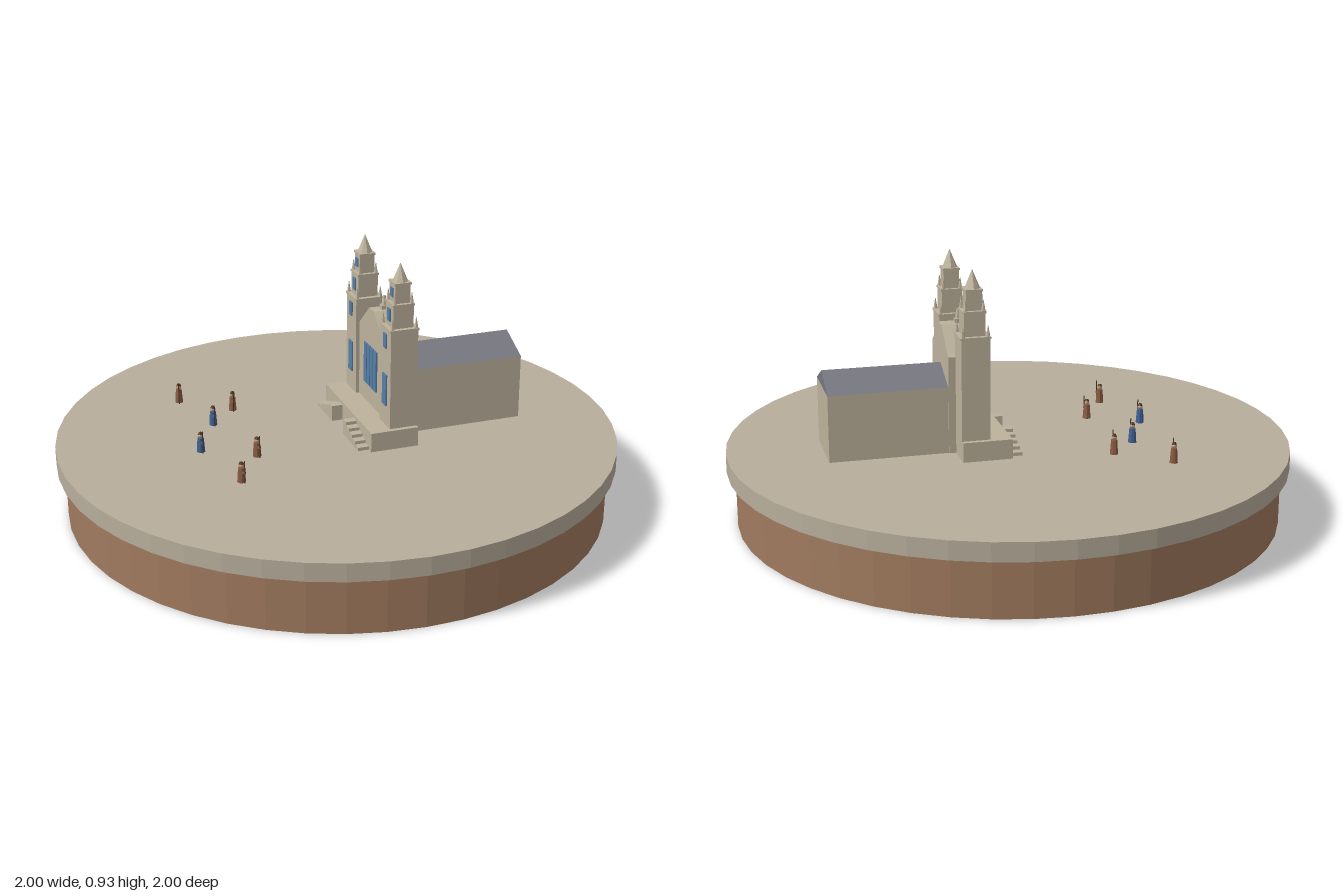
import * as THREE from 'three';

const mat = (name, color, flat = true) => {
  const m = new THREE.MeshStandardMaterial({ color, flatShading: flat });
  m.name = name;
  return m;
};

export function createModel() {
  const root = new THREE.Group();
  root.name = 'churchDiorama';
  const M = {
    earth: mat('earth', 0xa07a5e),
    ground: mat('ground', 0xb7ad9b),
    stone: mat('stone', 0xbdb29c),
    roof: mat('roof', 0x777880),
    glass: mat('glass', 0x567fa8),
    brown: mat('brownCloth', 0x8b5c42),
    blue: mat('blueCloth', 0x3f6292),
    skin: mat('skin', 0xc39a78),
    wood: mat('darkWood', 0x4a3526),
  };

  const add = (parent, name, geo, m, x = 0, y = 0, z = 0) => {
    const mesh = new THREE.Mesh(geo, m);
    mesh.name = name;
    mesh.position.set(x, y, z);
    parent.add(mesh);
    return mesh;
  };
  // box standing on y0
  const box = (parent, name, m, w, h, d, x, y0, z) =>
    add(parent, name, new THREE.BoxGeometry(w, h, d), m, x, y0 + h / 2, z);
  // tapered cylinder standing on y0
  const cyl = (parent, name, m, rTop, rBot, h, seg, x, y0, z) =>
    add(parent, name, new THREE.CylinderGeometry(rTop, rBot, h, seg), m, x, y0 + h / 2, z);
  // outline in x,y pushed from z0 to z1
  const prism = (parent, name, m, pts, z0, z1) => {
    const shape = new THREE.Shape(pts.map(([x, y]) => new THREE.Vector2(x, y)));
    return add(parent, name,
      new THREE.ExtrudeGeometry(shape, { depth: z1 - z0, bevelEnabled: false }), m, 0, 0, z0);
  };

  // round base
  const G = 0.265;
  cyl(root, 'earthBase', M.earth, 0.97, 0.97, 0.2, 48, 0, 0, 0);
  cyl(root, 'plaza', M.ground, 1, 1, G - 0.2, 48, 0, 0.2, 0);

  // church, local y = 0 is the plaza
  const church = new THREE.Group();
  church.name = 'church';
  church.position.set(0.057, G, -0.16);
  church.rotation.y = THREE.MathUtils.degToRad(-20);
  root.add(church);

  // nave and gabled roof
  box(church, 'nave', M.stone, 0.25, 0.237, 0.42, 0, 0, -0.283);
  prism(church, 'naveRoof', M.roof, [[-0.125, 0.237], [0.125, 0.237], [0, 0.295]], -0.493, -0.073);

  // central facade with stepped gable
  prism(church, 'facade', M.stone,
    [[-0.13, 0], [0.13, 0], [0.13, 0.345], [0.115, 0.355], [0.025, 0.435],
      [-0.025, 0.435], [-0.115, 0.355], [-0.13, 0.345]], -0.075, 0.037);
  box(church, 'finialBase', M.stone, 0.026, 0.014, 0.026, 0, 0.435, -0.01);
  cyl(church, 'finial', M.stone, 0.005, 0.011, 0.035, 6, 0, 0.449, -0.01);

  // central window panes
  for (let i = 0; i < 4; i++) {
    box(church, 'facadeWindow', M.glass, 0.026, 0.152, 0.008, -0.048 + i * 0.032, 0.143, 0.039);
  }

  // terrace
  box(church, 'terrace', M.stone, 0.48, 0.07, 0.175, 0, 0, 0.0375);

  for (const s of [-1, 1]) {
    // flight of steps going down outwards
    for (let i = 0; i < 5; i++) {
      box(church, 'step', M.stone, 0.031, 0.058 - i * 0.0115, 0.04, s * (0.076 + i * 0.031), 0, 0.145);
    }

    // bell tower: [width, bottom, top, windows as (width, bottom, height)]
    const tower = new THREE.Group();
    tower.name = s < 0 ? 'rightTower' : 'leftTower';
    tower.position.x = s * 0.173;
    church.add(tower);
    const tiers = [
      [0.1, 0, 0.435, [[0.038, 0.145, 0.115], [0.027, 0.358, 0.052]]],
      [0.074, 0.435, 0.522, [[0.025, 0.455, 0.045]]],
      [0.055, 0.522, 0.595, [[0.022, 0.542, 0.032]]],
    ];
    tiers.forEach(([w, y0, y1, wins], i) => {
      box(tower, 'towerTier', M.stone, w, y1 - y0, w, 0, y0, 0);
      box(tower, 'cornice', M.stone, w + 0.006, 0.008, w + 0.006, 0, y1 - 0.008, 0);
      for (const [ww, wy, wh] of wins) {
        box(tower, 'towerWindow', M.glass, ww, wh, 0.008, 0, wy, w / 2 + 0.001);
      }
      // corner pinnacles on the ledges
      if (i < 2) {
        const c = w / 2 - 0.006;
        for (const px of [-c, c]) for (const pz of [-c, c]) {
          cyl(tower, 'pinnacle', M.stone, 0.001, 0.0075, 0.038, 6, px, y1, pz);
        }
      }
    });
    cyl(tower, 'spire', M.stone, 0, 0.027, 0.065, 8, 0, 0.595, 0);
  }

  // townspeople on the plaza: x, z, cloth
  const people = [
    [-0.556, 0.305, M.brown], [-0.369, 0.193, M.brown], [-0.305, 0.326, M.blue],
    [-0.144, 0.492, M.blue], [0.011, 0.364, M.brown], [0.139, 0.524, M.brown],
  ];
  people.forEach(([x, z, cloth], i) => {
    const p = new THREE.Group();
    p.name = 'person';
    p.position.set(x, G, z);
    p.rotation.y = -0.3 + i * 0.12;
    root.add(p);
    cyl(p, 'robe', cloth, 0.011, 0.015, 0.052, 8, 0, 0, 0);
    add(p, 'head', new THREE.IcosahedronGeometry(0.0095, 1), M.skin, 0, 0.06, 0);
    cyl(p, 'hat', M.wood, 0.006, 0.009, 0.007, 8, 0, 0.065, 0);
    box(p, 'arm', cloth, 0.012, 0.007, 0.008, 0.013, 0.034, 0.004);
    cyl(p, 'staff', M.wood, 0.002, 0.002, 0.082, 5, 0.018, 0, 0.005);
  });

  return root;
}
